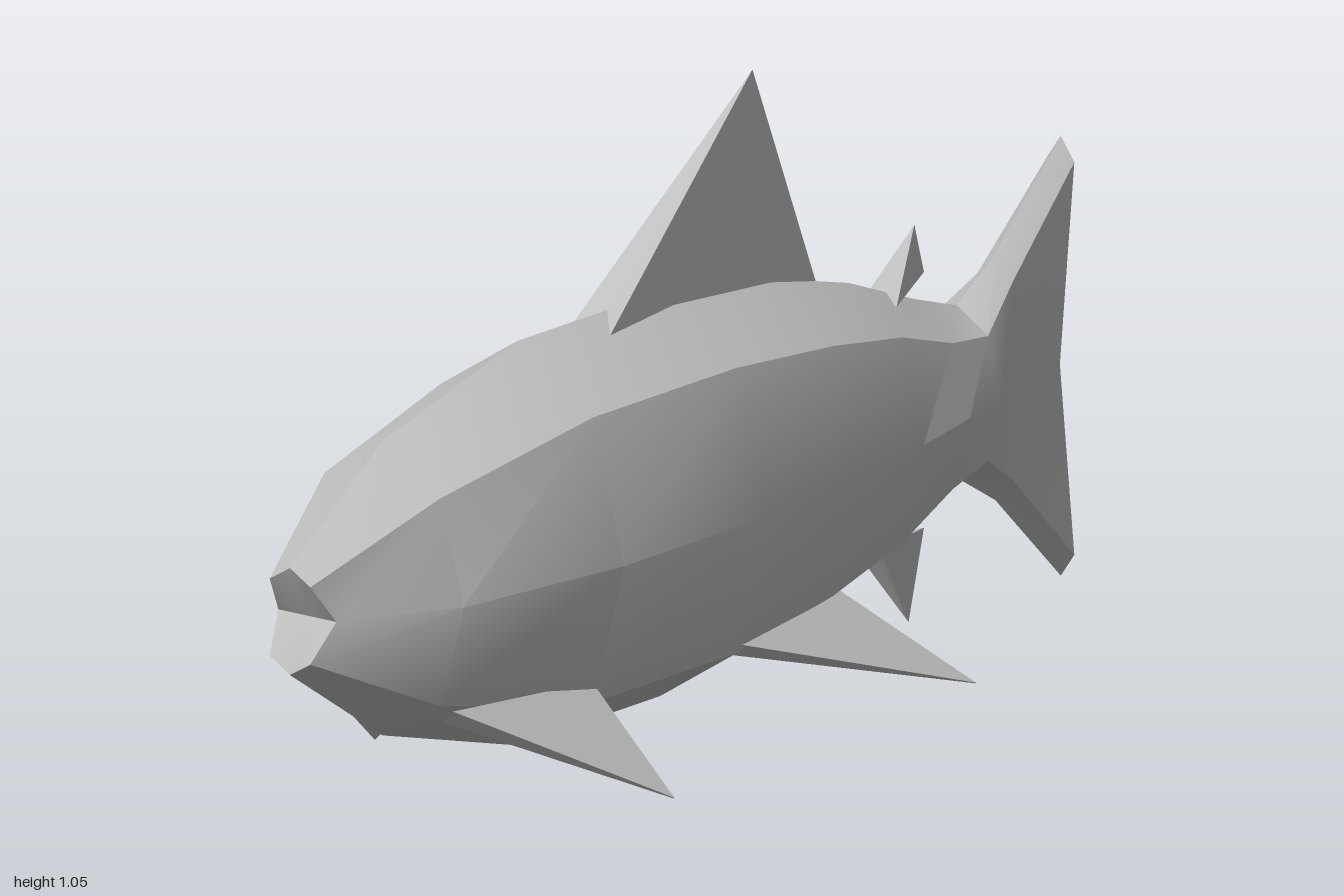
import * as THREE from 'three';
import { toCreasedNormals } from 'three/addons/utils/BufferGeometryUtils.js';
import { ConvexGeometry } from 'three/addons/geometries/ConvexGeometry.js';

const MID = 0.39;

function fromTriangles(tris) {
  const g = new THREE.BufferGeometry();
  g.setAttribute('position', new THREE.Float32BufferAttribute(tris.flat(2), 3));
  g.computeVertexNormals();
  return g;
}

// Eight-sided section: z, top, shoulder, lower, bottom heights, shoulder and side half widths, z of side points
function ring([z, top, up, low, bottom, xs, xm, zm = z]) {
  return [
    [0, top, z], [xs, up, z], [xm, MID, zm], [xs, low, z],
    [0, bottom, z], [-xs, low, z], [-xm, MID, zm], [-xs, up, z],
  ];
}

function loft(sections) {
  const rings = sections.map(ring), tris = [], n = 8;
  for (let i = 0; i < rings.length - 1; i++) {
    for (let j = 0; j < n; j++) {
      const k = (j + 1) % n;
      const a = rings[i][j], b = rings[i][k], c = rings[i + 1][j], d = rings[i + 1][k];
      tris.push([a, b, c], [b, d, c]);
    }
  }
  // Notched mouth and tail ends
  const first = rings[0], last = rings[rings.length - 1];
  const front = [0, MID, first[2][2]], back = [0, MID, last[2][2]];
  for (let j = 0; j < n; j++) {
    const k = (j + 1) % n;
    tris.push([front, first[k], first[j]], [back, last[j], last[k]]);
  }
  return toCreasedNormals(fromTriangles(tris), 0.52);
}

// Centre fin: wide notched leading edge narrowing to a point; front, notch, rear and apex are [y, z]
function wedgeFin(halfWidth, front, notch, rear, apex) {
  const L = [-halfWidth, ...front], R = [halfWidth, ...front];
  const N = [0, ...notch], B = [0, ...rear], A = [0, ...apex];
  let tris = [[R, B, A], [L, A, B], [N, R, A], [L, N, A], [L, B, N], [N, B, R]];
  if (apex[0] < front[0]) tris = tris.map(([a, b, c]) => [a, c, b]);
  return fromTriangles(tris);
}

// Paired fin: triangle with its own thickness at each corner
function plateFin(corners, thickness) {
  const p = corners.map((c) => new THREE.Vector3(...c));
  const normal = new THREE.Triangle(...p).getNormal(new THREE.Vector3());
  const points = [];
  p.forEach((v, i) => {
    for (const s of [-0.5, 0.5]) points.push(v.clone().addScaledVector(normal, s * thickness[i]));
  });
  return new ConvexGeometry(points);
}

export function createModel() {
  const group = new THREE.Group();
  const grey = new THREE.MeshStandardMaterial({ color: 0xbfbfbf });
  grey.name = 'grey';
  const add = (name, geometry) => {
    const mesh = new THREE.Mesh(geometry, grey);
    mesh.name = name;
    group.add(mesh);
  };

  // Body flowing into the flat forked tail
  add('bodyAndTail', loft([
    [1.0, 0.48, 0.455, 0.325, 0.30, 0.042, 0.06, 0.955],
    [0.76, 0.64, 0.565, 0.215, 0.145, 0.12, 0.168],
    [0.41, 0.73, 0.63, 0.15, 0.05, 0.158, 0.22],
    [0.04, 0.73, 0.63, 0.15, 0.05, 0.158, 0.22],
    [-0.24, 0.69, 0.60, 0.18, 0.095, 0.135, 0.19],
    [-0.45, 0.635, 0.563, 0.217, 0.15, 0.11, 0.155],
    [-0.62, 0.57, 0.51, 0.265, 0.21, 0.08, 0.115],
    [-0.73, 0.535, 0.495, 0.285, 0.245, 0.065, 0.09],
    [-0.83, 0.60, 0.56, 0.225, 0.185, 0.037, 0.04],
    [-1.0, 0.76, 0.72, 0.06, 0.02, 0.028, 0.03, -0.96],
  ]));

  // Centre fins
  add('dorsalFin', wedgeFin(0.041, [0.705, 0.22], [0.715, 0.195], [0.655, -0.365], [1.05, -0.2]));
  add('rearDorsalFin', wedgeFin(0.035, [0.583, -0.53], [0.59, -0.54], [0.61, -0.645], [0.695, -0.62]));
  add('analFin', wedgeFin(0.032, [0.185, -0.49], [0.185, -0.505], [0.18, -0.645], [0.03, -0.605]));

  // Paired fins; the right front fin is a thick slab
  add('leftPectoralFin', plateFin(
    [[0.135, 0.2, 0.76], [0.32, 0.017, 0.405], [0.15, 0.18, 0.41]], [0.03, 0.002, 0.012]));
  add('rightPectoralFin', plateFin(
    [[-0.115, 0.21, 0.76], [-0.313, 0.02, 0.405], [-0.13, 0.195, 0.41]], [0.042, 0.042, 0.042]));
  for (const [name, s] of [['leftPelvicFin', 1], ['rightPelvicFin', -1]]) {
    add(name, plateFin(
      [[s * 0.145, 0.155, 0.04], [s * 0.29, 0.022, -0.415], [s * 0.125, 0.18, -0.265]], [0.03, 0.002, 0.008]));
  }
  return group;
}
